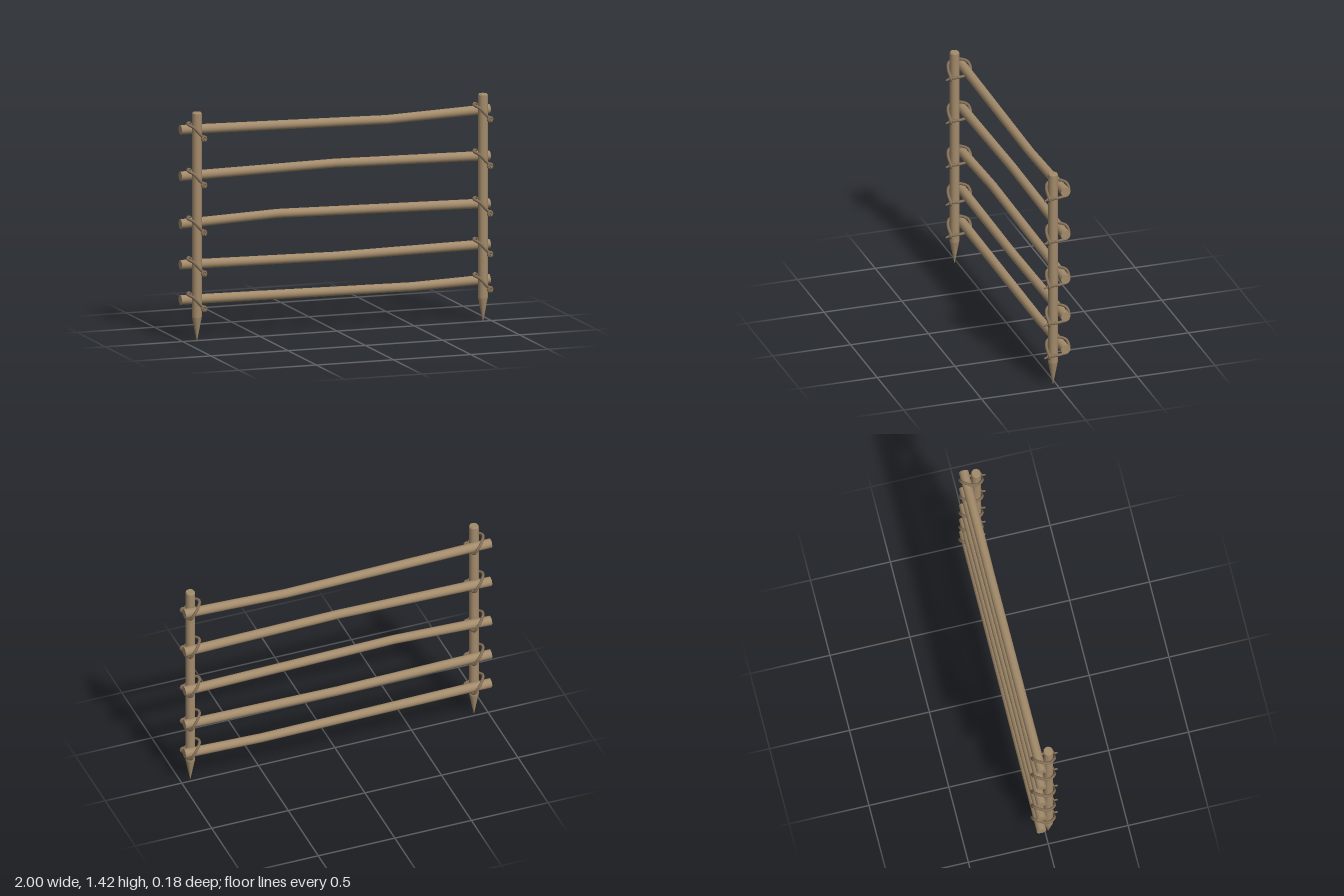
import * as THREE from 'three';

const wood = new THREE.MeshStandardMaterial({ color: 0xa38b6b });
wood.name = 'wood';
const twine = new THREE.MeshStandardMaterial({ color: 0x857058 });
twine.name = 'twine';

const POST_Z = 0.02;
const RAIL_Z = -0.041;
const R = 0.03;

function part(name, geometry, material) {
  const mesh = new THREE.Mesh(geometry, material);
  mesh.name = name;
  return mesh;
}

const v = (x, y, z) => new THREE.Vector3(x, y, z);

// Round post: sharpened tip, straight shaft, slightly worn top edge
function makePost(x, height) {
  const group = new THREE.Group();
  group.name = 'post';
  const tip = part('postTip', new THREE.CylinderGeometry(R, 0.001, 0.15, 16, 1, true), wood);
  tip.position.y = 0.075;
  const shaftLength = height - 0.15 - 0.008;
  const shaft = part('postShaft', new THREE.CylinderGeometry(R, R, shaftLength, 16, 1, true), wood);
  shaft.position.y = 0.15 + shaftLength / 2;
  const cap = part('postCap', new THREE.CylinderGeometry(R - 0.005, R, 0.008, 16), wood);
  cap.position.y = height - 0.004;
  group.add(tip, shaft, cap);
  group.position.set(x, 0, POST_Z);
  return group;
}

// Rail: a pole with one gentle bend at bendX, offset by bendY
function makeRail(y, bendX, bendY) {
  const geometry = new THREE.CylinderGeometry(R, R, 2, 16, 2);
  geometry.rotateZ(-Math.PI / 2);
  const p = geometry.attributes.position;
  for (let i = 0; i < p.count; i++) {
    if (Math.abs(p.getX(i)) < 0.01) {
      p.setXYZ(i, bendX, p.getY(i) * 0.94 + bendY, p.getZ(i) * 0.94);
    }
  }
  const rail = part('rail', geometry, wood);
  rail.position.set(0, y, RAIL_Z);
  return rail;
}

// Lashing: a slanted loop round post and rail, with a knot and loose end
const loopCurve = new THREE.CatmullRomCurve3([
  v(0.035, -0.042, 0.047), v(0.043, -0.041, 0.015), v(0.04, -0.038, -0.03),
  v(0.03, -0.033, -0.065), v(0.015, 0, -0.078), v(-0.01, 0.03, -0.07),
  v(-0.03, 0.04, -0.045), v(-0.049, 0.04, -0.01), v(-0.05, 0.037, 0.02),
  v(-0.03, 0.025, 0.05), v(0, -0.01, 0.058),
], true);
const tailCurve = new THREE.CatmullRomCurve3([
  v(0.02, -0.035, 0.058), v(0.032, -0.046, 0.064), v(0.034, -0.054, 0.083),
]);
const loopGeometry = new THREE.TubeGeometry(loopCurve, 48, 0.009, 8, true);
const knotGeometry = new THREE.TorusGeometry(0.013, 0.008, 8, 14);
const tailGeometry = new THREE.TubeGeometry(tailCurve, 8, 0.006, 8);
const tailEndGeometry = new THREE.SphereGeometry(0.006, 8, 6);

function makeLashing(x, y) {
  const group = new THREE.Group();
  group.name = 'lashing';
  const knot = part('knot', knotGeometry, twine);
  knot.position.set(0.033, -0.045, 0.058);
  const tailEnd = part('looseEndTip', tailEndGeometry, twine);
  tailEnd.position.set(0.034, -0.054, 0.083);
  group.add(
    part('ropeLoop', loopGeometry, twine), knot,
    part('looseEnd', tailGeometry, twine), tailEnd,
  );
  group.position.set(x, y, 0);
  return group;
}

export function createModel() {
  const model = new THREE.Group();
  model.name = 'railFence';
  const posts = [[-0.915, 1.418], [0.937, 1.413]];
  // Height, bend position and bend offset of each rail
  const rails = [
    [0.25, 0.5, -0.015],
    [0.468, 0, -0.012],
    [0.72, -0.37, 0.025],
    [1.015, 0, 0.017],
    [1.303, 0.34, -0.023],
  ];
  for (const [x, height] of posts) model.add(makePost(x, height));
  for (const [y, bendX, bendY] of rails) {
    model.add(makeRail(y, bendX, bendY));
    for (const [x] of posts) model.add(makeLashing(x, y));
  }
  return model;
}
